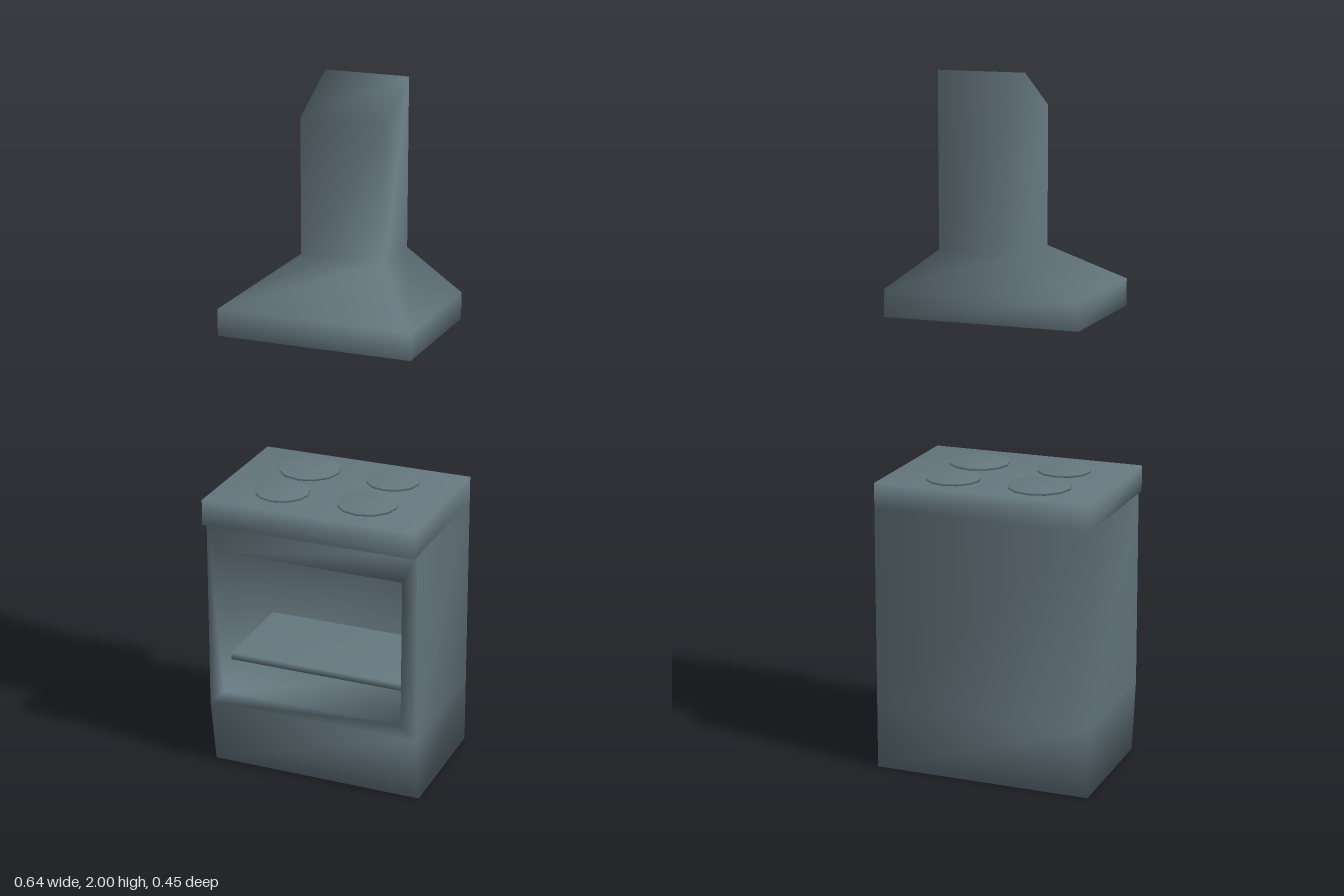
import * as THREE from 'three';
import { mergeGeometries, mergeVertices } from 'three/addons/utils/BufferGeometryUtils.js';

// Horizontal rectangle: half width, front z, back z, front height, back height
const rect = (w, zf, zb, yf, yb = yf) => [[-w, yf, zf], [w, yf, zf], [w, yb, zb], [-w, yb, zb]];
// Upright rectangle facing the front
const upright = (w, y0, y1, z) => [[-w, y0, z], [w, y0, z], [w, y1, z], [-w, y1, z]];

// Skin through four-cornered rings; skip(ring, side) leaves a side open
function loft(rings, { start = true, end = true, skip = () => false } = {}) {
  const index = [];
  for (let r = 0; r < rings.length - 1; r++) {
    for (let i = 0; i < 4; i++) {
      if (skip(r, i)) continue;
      const j = (i + 1) % 4;
      const a = r * 4 + i, b = r * 4 + j, c = r * 4 + 4 + j, d = r * 4 + 4 + i;
      index.push(a, b, c, a, c, d);
    }
  }
  if (start) index.push(2, 1, 0, 3, 2, 0);
  const n = (rings.length - 1) * 4;
  if (end) index.push(n, n + 1, n + 2, n, n + 2, n + 3);
  const g = new THREE.BufferGeometry();
  g.setAttribute('position', new THREE.Float32BufferAttribute(rings.flat(2), 3));
  g.setIndex(index);
  return g;
}

// Weld corners so that the shading runs smoothly over the edges
function smooth(g) {
  g.deleteAttribute('normal');
  g.deleteAttribute('uv');
  const welded = mergeVertices(g, 1e-4);
  welded.computeVertexNormals();
  return welded;
}

export function createModel() {
  const group = new THREE.Group();
  const steel = new THREE.MeshStandardMaterial({ color: 0x667880 });
  steel.name = 'blueGreySteel';

  const add = (name, geometry) => {
    const mesh = new THREE.Mesh(smooth(geometry), steel);
    mesh.name = name;
    group.add(mesh);
    return mesh;
  };

  // Stove body: tapered plinth, straight walls, overhanging front lip
  const shell = loft([
    rect(0.32, 0.167, -0.226, 0),
    rect(0.32, 0.2, -0.226, 0.2),
    rect(0.32, 0.2, -0.226, 0.772),
    rect(0.32, 0.228, -0.226, 0.772),
    rect(0.32, 0.228, -0.226, 0.848),
  ], { skip: (r, i) => r === 1 && i === 0 });

  // Front frame and open oven cavity
  const oven = loft([
    upright(0.32, 0.2, 0.772, 0.2),
    upright(0.274, 0.243, 0.684, 0.2),
    upright(0.274, 0.243, 0.684, -0.15),
  ], { start: false });
  add('stoveBody', mergeGeometries([shell, oven]));

  // Oven shelf
  add('ovenShelf', loft([
    rect(0.274, 0.15, -0.15, 0.324),
    rect(0.274, 0.15, -0.15, 0.345),
  ]));

  // Four hot plates: x, z, radius
  const plates = [
    [-0.128, -0.1, 0.09], [0.128, -0.107, 0.078],
    [-0.132, 0.09, 0.078], [0.125, 0.083, 0.087],
  ];
  for (const [x, z, r] of plates) {
    add('hotPlate', new THREE.CylinderGeometry(r, r, 0.008, 12)).position.set(x, 0.851, z);
  }

  // Extractor hood: hollow underside, rim, sloping canopy, slanted chimney
  add('extractorHood', loft([
    rect(0.104, -0.054, -0.19, 1.5),
    rect(0.258, 0.155, -0.198, 1.39),
    rect(0.258, 0.155, -0.198, 1.323),
    rect(0.283, 0.179, -0.223, 1.323),
    rect(0.283, 0.179, -0.223, 1.4),
    rect(0.124, -0.034, -0.209, 1.518),
    rect(0.124, -0.034, -0.209, 1.9, 2),
  ]));

  return group;
}
